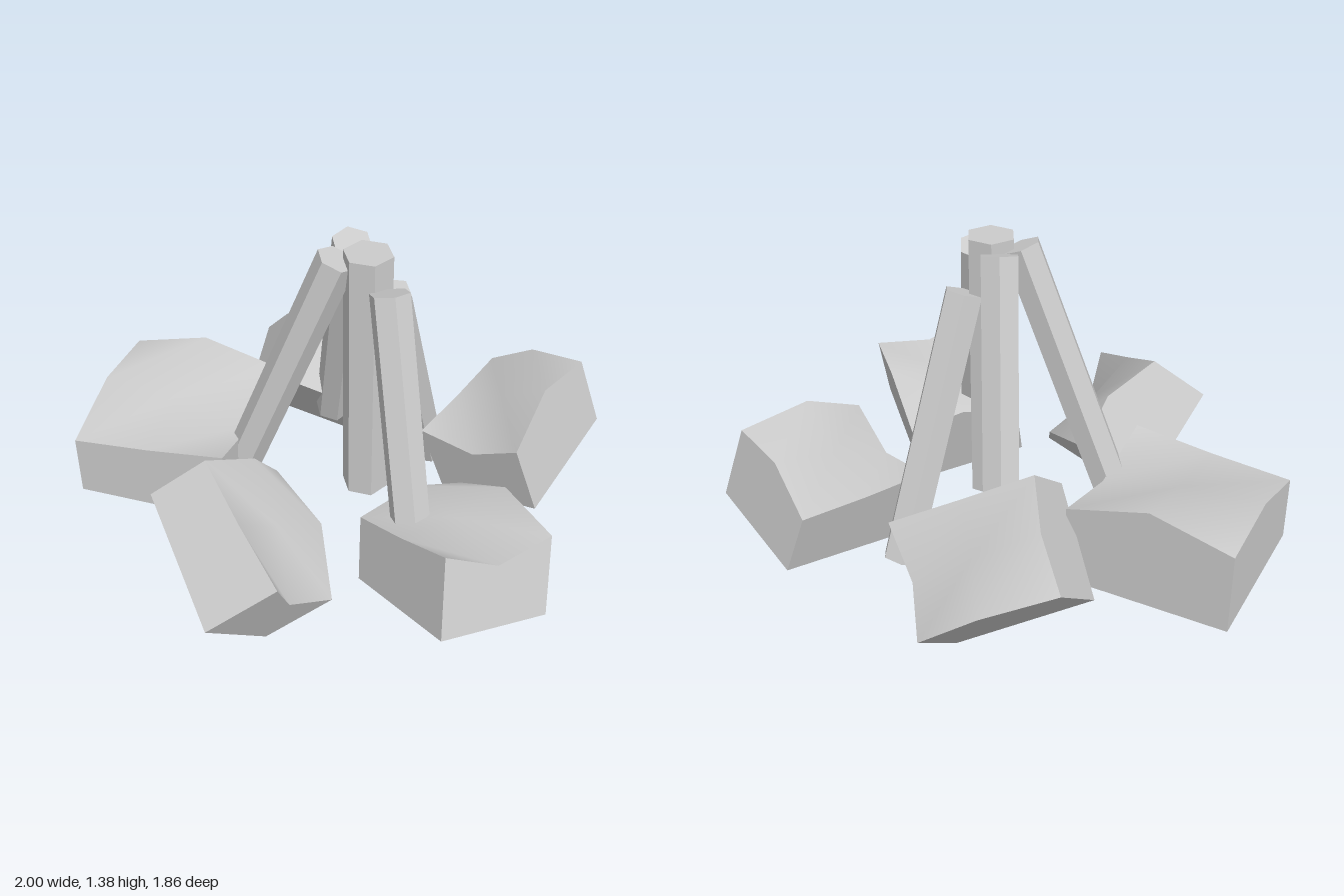
import * as THREE from 'three';

const V = (p) => new THREE.Vector3(...p);
const grey = () => new THREE.MeshStandardMaterial({ color: 0xcccccc });

// Relative thickness of a stone over a 3 x 3 grid: rows along e, columns along a
const RELIEF = [
  [0.8, 0.88, 1.0],
  [1.08, 1.0, 0.76],
  [1.0, 1.25, 0.98],
];

// Block on a base with corner o and edges a and e, with an uneven top face
function stoneGeometry(o, a, e, thickness) {
  const up = new THREE.Vector3().crossVectors(a, e).normalize();
  const pos = [];
  const index = [];
  const base = (i, j) => o.clone().addScaledVector(a, i / 2).addScaledVector(e, j / 2);
  const top = (i, j) => base(i, j).addScaledVector(up, thickness * RELIEF[j][i]);

  // Each patch has its own vertices, so the block's edges stay sharp
  function patch(cols, rows, point) {
    const start = pos.length / 3;
    for (let r = 0; r < rows; r++) {
      for (let c = 0; c < cols; c++) pos.push(...point(c, r).toArray());
    }
    for (let r = 0; r < rows - 1; r++) {
      for (let c = 0; c < cols - 1; c++) {
        const k = start + r * cols + c;
        index.push(k, k + 1, k + cols + 1, k, k + cols + 1, k + cols);
      }
    }
  }

  patch(3, 3, (c, r) => top(c, r));
  patch(2, 2, (c, r) => base(2 - 2 * c, 2 * r));
  const sides = [
    (c) => [c, 0],
    (c) => [2, c],
    (c) => [2 - c, 2],
    (c) => [0, 2 - c],
  ];
  for (const side of sides) {
    patch(3, 2, (c, r) => (r ? top(...side(c)) : base(...side(c))));
  }

  const geo = new THREE.BufferGeometry();
  geo.setAttribute('position', new THREE.Float32BufferAttribute(pos, 3));
  geo.setIndex(index);
  geo.computeVertexNormals();
  return geo;
}

// Six-sided log between two end points
function makeLog(name, from, to, radius) {
  const p = V(from);
  const q = V(to);
  const axis = p.clone().sub(q);
  const geo = new THREE.CylinderGeometry(radius, radius, axis.length(), 6).rotateY(Math.PI / 2);
  const material = grey();
  material.flatShading = true;
  const log = new THREE.Mesh(geo, material);
  log.name = name;
  log.quaternion.setFromUnitVectors(new THREE.Vector3(0, 1, 0), axis.normalize());
  log.position.copy(p).add(q).multiplyScalar(0.5);
  return log;
}

export function createModel() {
  const model = new THREE.Group();
  model.name = 'campfire';

  // Logs leaning together around an upright one: name, top, bottom, radius
  const logs = new THREE.Group();
  logs.name = 'logs';
  const logData = [
    ['uprightLog', [0.13, 1.38, -0.035], [0.135, 0.3, -0.045], 0.095],
    ['rightLog', [0.02, 1.35, -0.01], [-0.37, 0.35, 0.04], 0.077],
    ['backRightLog', [0.04, 1.355, -0.135], [-0.123, 0.335, -0.44], 0.077],
    ['backLeftLog', [0.2, 1.17, -0.12], [0.295, 0.16, -0.49], 0.077],
    ['frontLeftLog', [0.235, 1.285, 0.055], [0.447, 0.27, 0.366], 0.077],
  ];
  for (const data of logData) logs.add(makeLog(...data));
  model.add(logs);

  // Ring of stones: name, base corner, long edge, short edge, thickness
  const stones = new THREE.Group();
  stones.name = 'stoneRing';
  const stoneData = [
    ['rightStone', [-1, 0.22, 0.265], [0.64, 0, 0], [0, 0, -0.645], 0.325],
    ['frontRightStone', [-0.525, 0.575, 0.57], [0.345, -0.255, 0.365], [0.11, -0.315, -0.308], 0.32],
    ['backRightStone', [-0.29, 0.565, -0.275], [0.475, -0.26, -0.175], [-0.25, -0.287, -0.23], 0.315],
    ['backLeftStone', [0.58, 0.23, -0.835], [-0.17, -0.11, 0.525], [0.415, 0.12, 0.165], 0.32],
    ['frontLeftStone', [0.235, 0.19, 0.395], [0.4, 0.16, 0.36], [0.325, -0.08, -0.31], 0.32],
  ];
  for (const [name, o, a, e, thickness] of stoneData) {
    const stone = new THREE.Mesh(stoneGeometry(V(o), V(a), V(e), thickness), grey());
    stone.name = name;
    stones.add(stone);
  }
  model.add(stones);

  return model;
}
